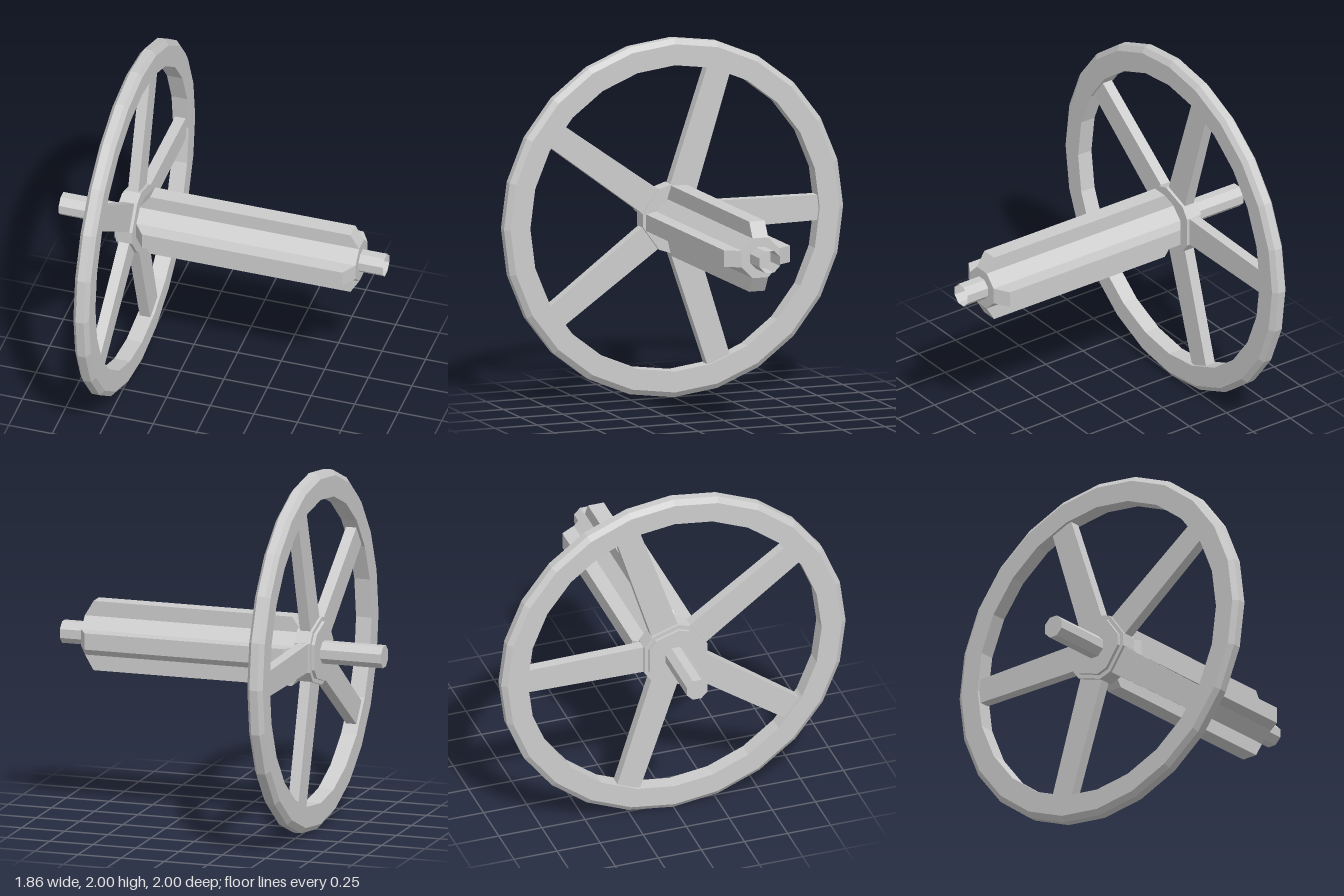
import * as THREE from 'three';

const mat = new THREE.MeshStandardMaterial({ color: 0xcccccc, flatShading: true, side: THREE.DoubleSide });

export function createModel() {
  const model = new THREE.Group();
  // Built along local z, then turned so that the axle runs along x
  const assembly = new THREE.Group();
  assembly.name = 'wheelAndAxle';
  assembly.position.y = 1;
  assembly.rotation.y = Math.PI / 2;
  model.add(assembly);

  const add = (name, geometry) => {
    const mesh = new THREE.Mesh(geometry, mat);
    mesh.name = name;
    assembly.add(mesh);
    return mesh;
  };
  const extrude = (points, z0, z1) =>
    new THREE.ExtrudeGeometry(new THREE.Shape(points.map(([x, y]) => new THREE.Vector2(x, y))),
      { depth: z1 - z0, bevelEnabled: false }).translate(0, 0, z0);
  const octagon = (r, z0, z1, open) =>
    new THREE.CylinderGeometry(r, r, z1 - z0, 8, 1, open, Math.PI / 8)
      .rotateX(Math.PI / 2).translate(0, 0, (z0 + z1) / 2);

  // Rim: chamfered section swept round in 24 facets
  const rimSection = [[0.853, -0.56], [0.97, -0.56], [1, -0.538], [1, -0.492],
    [0.97, -0.47], [0.853, -0.47], [0.853, -0.56]];
  add('rim', new THREE.LatheGeometry(rimSection.map(([r, z]) => new THREE.Vector2(r, z)), 24)
    .rotateX(Math.PI / 2));

  // Five tapered spokes
  const step = Math.PI * 2 / 5;
  for (let i = 0; i < 5; i++) {
    add('spoke', extrude([[0.15, -0.08], [0.87, -0.07], [0.87, 0.07], [0.15, 0.08]], -0.545, -0.485))
      .rotation.z = i * step;
  }

  // Ten-sided hub, wider faces where the spokes join, with an outer flange
  const hubOutline = (r) => {
    const points = [];
    for (let i = 0; i < 5; i++) {
      for (const side of [-1, 1]) {
        const a = i * step + side * 0.435;
        points.push([r * Math.cos(a), r * Math.sin(a)]);
      }
    }
    return points;
  };
  add('hub', extrude(hubOutline(0.193), -0.56, -0.468));
  add('hubFlange', extrude(hubOutline(0.168), -0.578, -0.56));

  // Axle: open at one end, capped beside the wheel
  add('axle', octagon(0.065, -0.93, 0.93, true));
  add('axleCap', new THREE.CircleGeometry(0.065, 8, Math.PI / 8).rotateX(Math.PI).translate(0, 0, -0.93));

  // Drum with four ribs whose ends slope down
  add('drum', octagon(0.12, -0.47, 0.79, false));
  const ribProfile = [[-0.47, 0.06], [0.79, 0.06], [0.79, 0.111], [0.74, 0.195], [-0.41, 0.195], [-0.47, 0.111]];
  for (let i = 0; i < 4; i++) {
    add('rib', extrude(ribProfile, -0.046, 0.046).rotateY(-Math.PI / 2)).rotation.z = i * Math.PI / 2;
  }
  return model;
}
